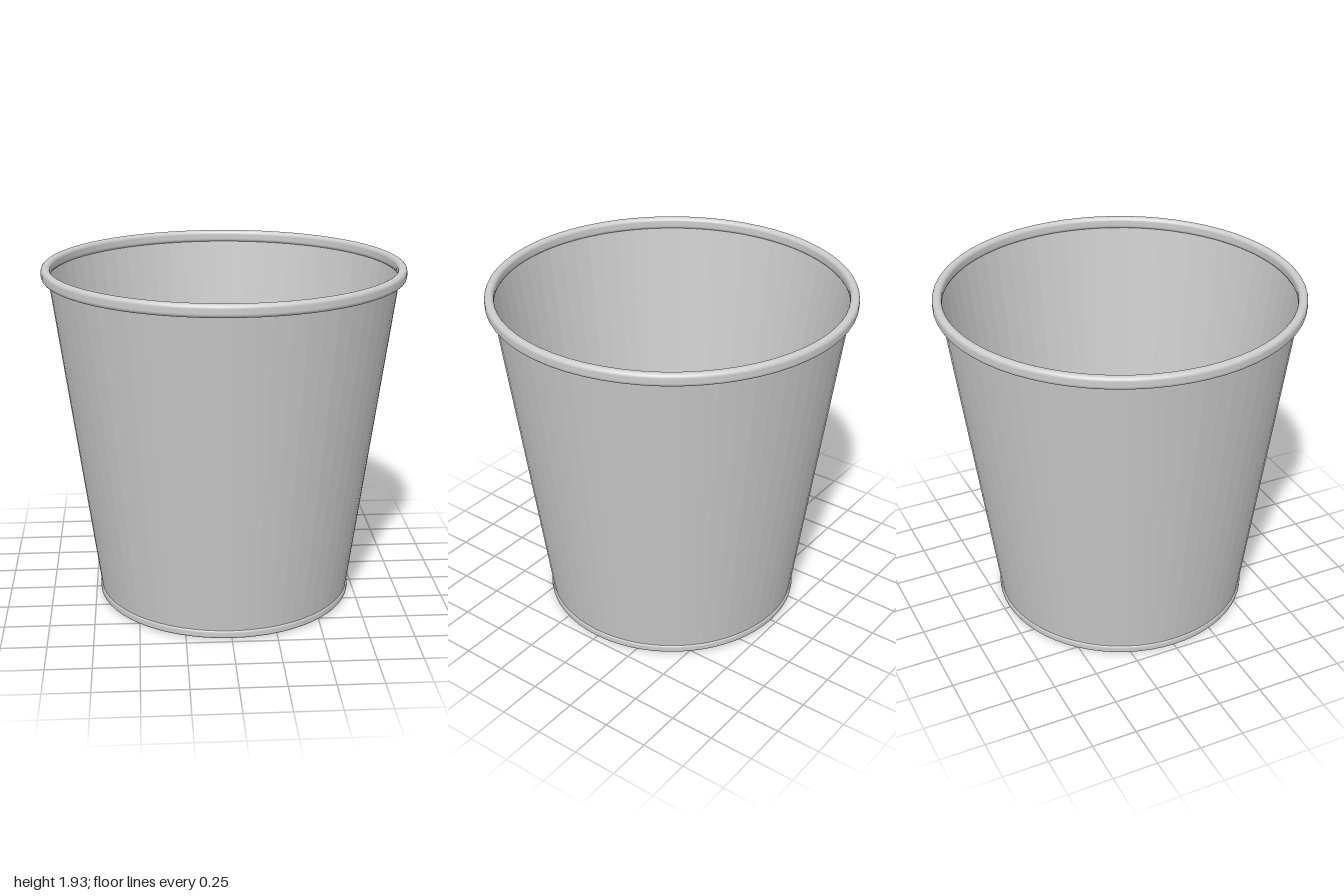
import * as THREE from 'three';

const SEGMENTS = 64;

// Rolled metal bead: a rounded rectangle section swept around the y axis
function bead(name, inner, outer, bottom, top, material) {
  const r = (outer - inner) * 0.46;
  const shape = new THREE.Shape();
  shape.absarc(outer - r, bottom + r, r, -Math.PI / 2, 0);
  shape.absarc(outer - r, top - r, r, 0, Math.PI / 2);
  shape.absarc(inner + r, top - r, r, Math.PI / 2, Math.PI);
  shape.absarc(inner + r, bottom + r, r, Math.PI, Math.PI * 1.5);
  shape.closePath();
  const mesh = new THREE.Mesh(new THREE.LatheGeometry(shape.getPoints(5), SEGMENTS), material);
  mesh.name = name;
  return mesh;
}

export function createModel() {
  const bin = new THREE.Group();
  bin.name = 'wasteBin';
  const smooth = new THREE.MeshStandardMaterial({ color: 0xcccccc, side: THREE.DoubleSide });
  const faceted = new THREE.MeshStandardMaterial({ color: 0xcccccc, side: THREE.DoubleSide, flatShading: true });

  // Thin tapered wall, open at both ends
  const bottom = 0.02, top = 1.9;
  const wall = new THREE.Mesh(
    new THREE.CylinderGeometry(0.965, 0.715, top - bottom, SEGMENTS, 1, true), faceted);
  wall.position.y = (top + bottom) / 2;
  wall.name = 'wall';
  bin.add(wall);

  // Floor plate, standing on the ground
  const floor = new THREE.Mesh(new THREE.CylinderGeometry(0.705, 0.705, 0.012, SEGMENTS), faceted);
  floor.position.y = 0.006;
  floor.name = 'floor';
  bin.add(floor);

  // Rolled rim at the top and smaller bead around the base
  bin.add(bead('topRim', 0.95, 1, 1.86, 1.93, smooth));
  bin.add(bead('baseBead', 0.69, 0.725, 0.003, 0.053, smooth));
  return bin;
}
